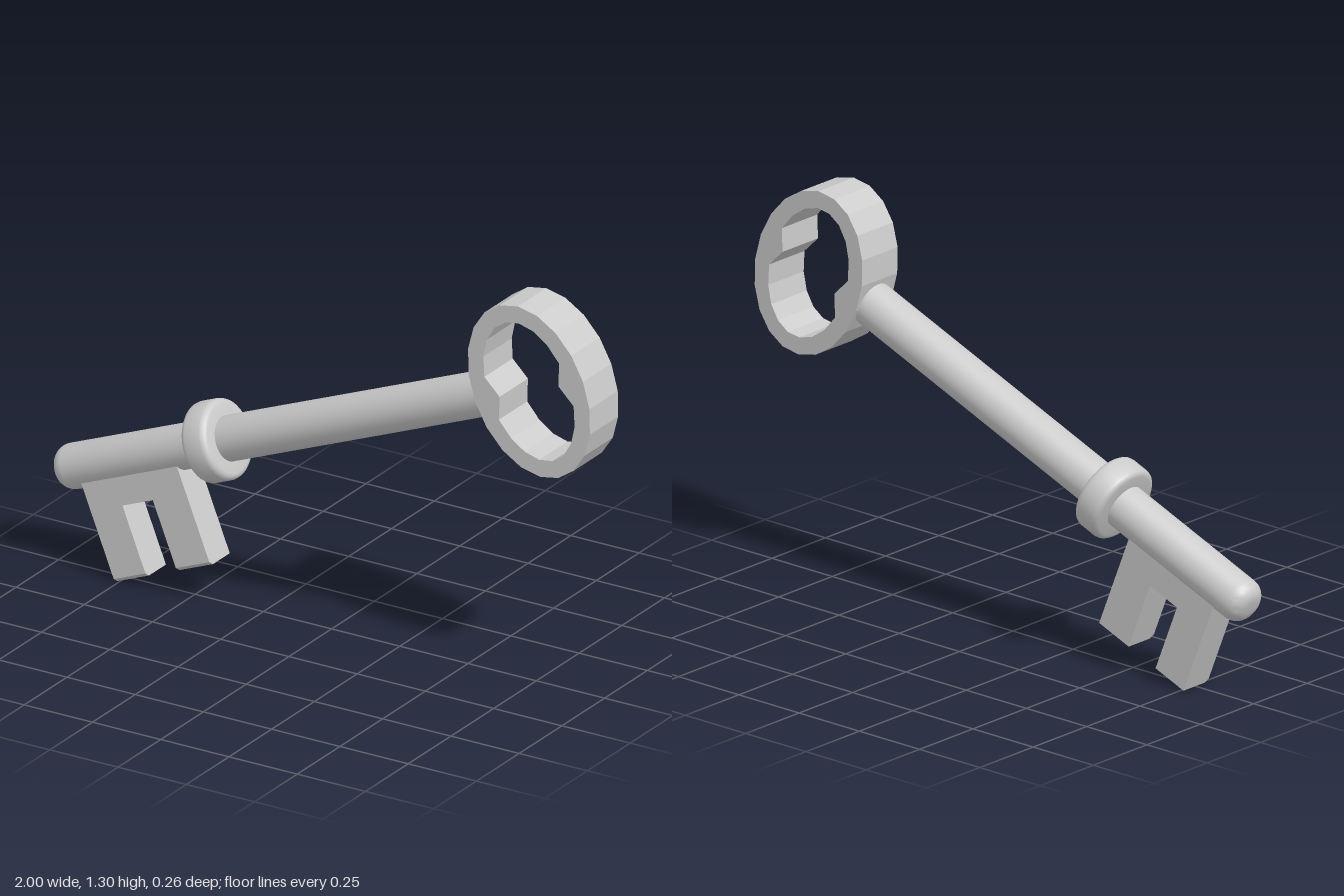
import * as THREE from 'three';
import { toCreasedNormals } from 'three/addons/utils/BufferGeometryUtils.js';

const material = new THREE.MeshStandardMaterial({ color: 0xcccccc });

function add(parent, name, geometry) {
  const mesh = new THREE.Mesh(geometry, material);
  mesh.name = name;
  parent.add(mesh);
  return mesh;
}

// Turned part along x; profile is a list of [radius, x]
function turned(profile, segments) {
  const points = profile.map(([r, x]) => new THREE.Vector2(r, x));
  const geometry = new THREE.LatheGeometry(points, segments).rotateZ(-Math.PI / 2);
  return toCreasedNormals(geometry, 0.6);
}

// Quarter-round corner points between two angles, around centre (r, x)
function corner(r, x, radius, from, to, steps) {
  return Array.from({ length: steps + 1 }, (_, i) => {
    const a = from + ((to - from) * i) / steps;
    return [r + radius * Math.cos(a), x + radius * Math.sin(a)];
  });
}

// Faceted ellipse; a pinch pulls in the two points on the x axis
function ellipse(a, b, sides, pinch = a) {
  return Array.from({ length: sides }, (_, i) => {
    const t = (i / sides) * Math.PI * 2;
    const rx = i % (sides / 2) === 0 ? pinch : a;
    return new THREE.Vector2(rx * Math.cos(t), b * Math.sin(t));
  });
}

// Bar of the bit: a (z, y) cross-section run along x
function bar(section, x0, x1) {
  const shape = new THREE.Shape(section.map(([z, y]) => new THREE.Vector2(-z, y)));
  const geometry = new THREE.ExtrudeGeometry(shape, { depth: x1 - x0, bevelEnabled: false });
  return geometry.rotateY(Math.PI / 2).translate(x0, 0, 0);
}

export function createModel() {
  const model = new THREE.Group();
  model.name = 'key';

  // Everything is laid out along x from the bow centre, then tilted
  const key = new THREE.Group();
  key.name = 'tiltedKey';
  key.position.set(0.775, 1.02, 0);
  key.rotation.z = THREE.MathUtils.degToRad(21.8);
  model.add(key);

  // Shaft with rounded tip
  add(key, 'shaft', turned([
    [0, -1.9],
    ...corner(0.023, -1.85, 0.05, -Math.PI / 2, 0, 6),
    [0.073, -0.18],
    [0, -0.18],
  ], 40));

  // Collar with softened rims
  const rim = 0.02, outer = 0.13, x0 = -1.335, x1 = -1.239;
  add(key, 'collar', turned([
    [0.06, x0],
    ...corner(outer - rim, x0 + rim, rim, -Math.PI / 2, 0, 3),
    ...corner(outer - rim, x1 - rim, rim, 0, Math.PI / 2, 3),
    [0.06, x1],
  ], 40));

  // Bow: faceted oval ring with a pinch on each side of the opening
  const ring = new THREE.Shape(ellipse(0.213, 0.289, 20));
  ring.holes.push(new THREE.Path(ellipse(0.155, 0.232, 20, 0.116)));
  const depth = 0.166;
  add(key, 'bow', new THREE.ExtrudeGeometry(ring, { depth, bevelEnabled: false })
    .translate(0, 0, -depth / 2));

  // Bit: a bridge under the shaft and two teeth with a chamfered front foot
  const front = 0.057, back = -0.056, top = -0.02, notch = -0.138, foot = -0.377;
  add(key, 'bitBridge', bar(
    [[front, top], [front, notch], [back, notch], [back, top]], -1.677, -1.557));
  const tooth = [[front, top], [front, foot + 0.012], [front - 0.014, foot], [back, foot], [back, top]];
  add(key, 'outerTooth', bar(tooth, -1.802, -1.677));
  add(key, 'innerTooth', bar(tooth, -1.557, -1.425));

  return model;
}
